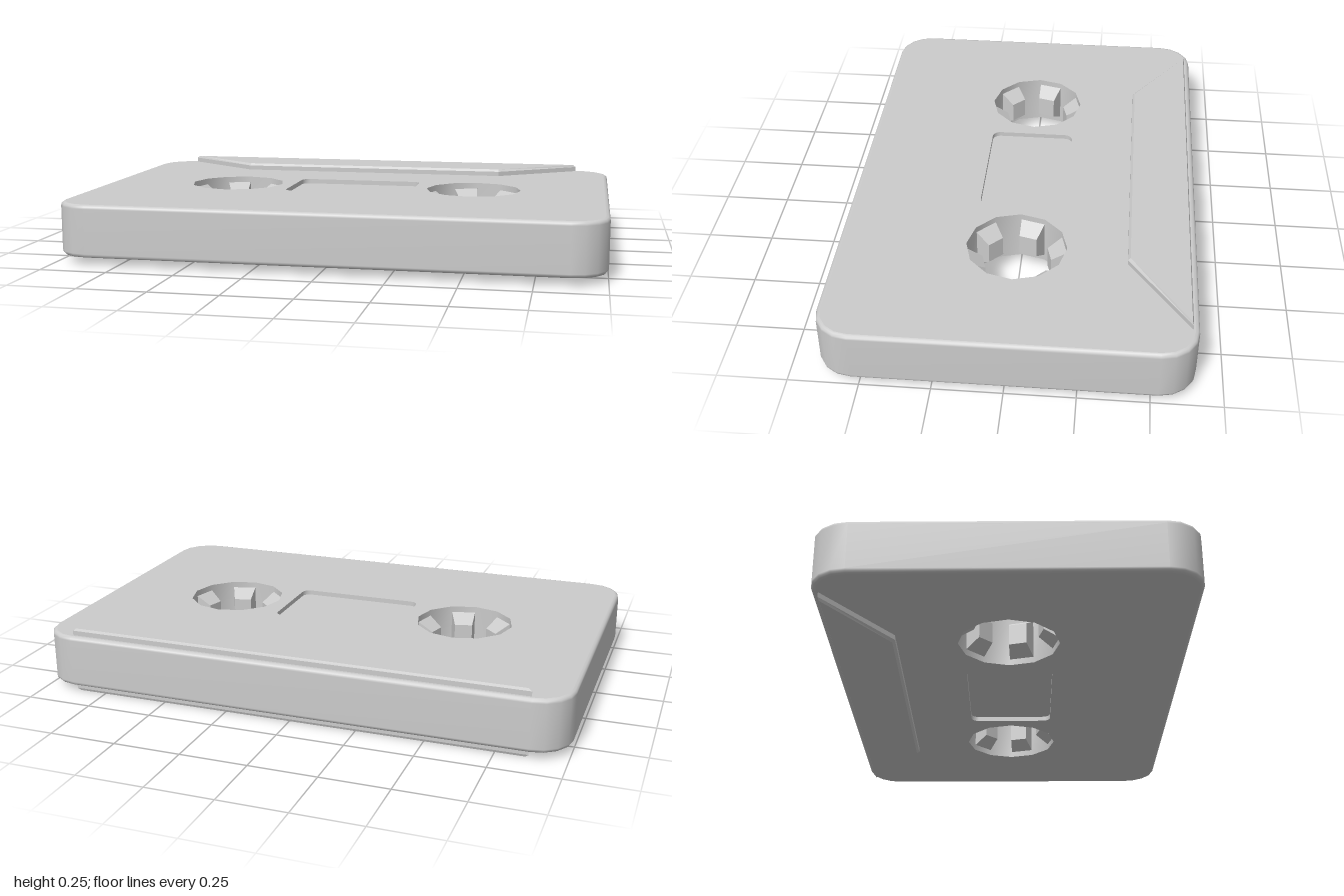
import * as THREE from 'three';

const BOTTOM = 0.027, TOP = 0.223, HEIGHT = 0.25, RECESS = 0.018, BEVEL = 0.015;
const HUB_X = 0.48, HUB_R = 0.185;

// Counter-clockwise rounded rectangle, as a list of points
function roundedRect(hw, hh, r, steps) {
  const pts = [];
  [[1, 1], [-1, 1], [-1, -1], [1, -1]].forEach(([sx, sy], k) => {
    for (let i = 0; i <= steps; i++) {
      const a = (k + i / steps) * Math.PI / 2;
      pts.push(new THREE.Vector2(sx * (hw - r) + r * Math.cos(a), sy * (hh - r) + r * Math.sin(a)));
    }
  });
  return pts;
}

// Twelve-sided outline of a hub hole
function hubOutline(cx) {
  return Array.from({ length: 12 }, (_, i) => {
    const a = i * Math.PI / 6;
    return new THREE.Vector2(cx + HUB_R * Math.cos(a), HUB_R * Math.sin(a));
  });
}

// Skin between closed outlines stacked from bottom to top
function band(loops) {
  const n = loops[0].pts.length, pos = [], idx = [];
  for (const { pts, y } of loops) for (const p of pts) pos.push(p.x, y, -p.y);
  for (let l = 0; l < loops.length - 1; l++) {
    for (let i = 0; i < n; i++) {
      const a = l * n + i, b = l * n + (i + 1) % n;
      idx.push(a, b, b + n, a, b + n, a + n);
    }
  }
  const g = new THREE.BufferGeometry();
  g.setAttribute('position', new THREE.Float32BufferAttribute(pos, 3));
  g.setIndex(idx);
  g.computeVertexNormals();
  return g;
}

// Flat horizontal face, turned up (side 1) or down (side -1)
function flatFace(outline, holes, y, side) {
  const shape = new THREE.Shape(outline);
  shape.holes = holes.map(h => new THREE.Path(h));
  return new THREE.ShapeGeometry(shape).rotateX(-side * Math.PI / 2).translate(0, y, 0);
}

// Drive tooth: wedge-shaped above and below, narrowing towards the hub axis
function toothGeometry() {
  const mid = (TOP + BOTTOM) / 2, outer = HUB_R * 0.97, inner = 0.122;
  const profile = new THREE.Shape([
    [outer, mid - 0.075], [outer, mid + 0.075], [inner, mid + 0.04], [inner, mid - 0.04],
  ].map(([x, y]) => new THREE.Vector2(x, y)));
  const g = new THREE.ExtrudeGeometry(profile, { depth: 1, bevelEnabled: false }).translate(0, 0, -0.5);
  const p = g.attributes.position;
  for (let i = 0; i < p.count; i++) {
    const t = (p.getX(i) - inner) / (outer - inner);
    p.setZ(i, p.getZ(i) * (0.068 + 0.024 * t));
  }
  g.computeVertexNormals();
  return g;
}

// Raised trapezoid with a chamfered rim, standing on y = 0
function panelGeometry() {
  const b = 0.009, depth = HEIGHT - TOP;
  const shape = new THREE.Shape([
    [-0.545, 0.415], [0.545, 0.415], [0.855, 0.628], [-0.855, 0.628],
  ].map(([x, y]) => new THREE.Vector2(x, y)));
  return new THREE.ExtrudeGeometry(shape, {
    depth, bevelEnabled: true, bevelSize: b, bevelThickness: b, bevelSegments: 1,
  }).rotateX(-Math.PI / 2).translate(0, -b, 0);
}

export function createModel() {
  const model = new THREE.Group();
  const material = new THREE.MeshStandardMaterial({ color: 0xcccccc });
  const add = (name, geometry, parent = model) => {
    const mesh = new THREE.Mesh(geometry, material);
    mesh.name = name;
    parent.add(mesh);
    return mesh;
  };

  const outline = d => roundedRect(1 - d, 0.655 - d, 0.13 - d, 4);
  const windowOutline = roundedRect(0.245, 0.163, 0.03, 4);
  const hubs = [-HUB_X, HUB_X].map(hubOutline);

  // Outer shell with softly rounded rims
  const rim = [0, 1, 2, 3].map(i => {
    const a = i / 3 * Math.PI / 2;
    return [BEVEL * (1 - Math.sin(a)), BEVEL * (1 - Math.cos(a))];
  });
  const loops = [
    ...rim.map(([d, h]) => ({ pts: outline(d), y: BOTTOM + h })),
    ...rim.slice().reverse().map(([d, h]) => ({ pts: outline(d), y: TOP - h })),
  ];
  add('shellSide', band(loops));

  // Faces, window recesses and raised panels on both sides
  for (const side of [1, -1]) {
    const label = side > 0 ? 'top' : 'bottom';
    const y = side > 0 ? TOP : BOTTOM, floor = y - side * RECESS;
    add(label + 'Face', flatFace(outline(BEVEL), [...hubs, windowOutline], y, side));
    add(label + 'WindowFloor', flatFace(windowOutline, [], floor, side));
    const inward = windowOutline.slice().reverse();
    add(label + 'WindowWall', band([
      { pts: inward, y: Math.min(y, floor) }, { pts: inward, y: Math.max(y, floor) },
    ]));
    // Panel tip sits exactly at the full height; its base sinks into the shell
    const panel = add(label + 'Panel', panelGeometry());
    if (side > 0) panel.position.y = TOP;
    else {
      panel.rotation.z = Math.PI;
      panel.position.y = BOTTOM;
    }
  }

  // Hub holes with six teeth each
  const tooth = toothGeometry();
  hubs.forEach((hub, k) => {
    const group = new THREE.Group();
    group.name = k ? 'leftHub' : 'rightHub';
    model.add(group);
    const inward = hub.slice().reverse();
    add('hubWall', band([{ pts: inward, y: BOTTOM }, { pts: inward, y: TOP }]), group);
    for (let i = 0; i < 6; i++) {
      const mesh = add('hubTooth', tooth, group);
      mesh.position.x = k ? HUB_X : -HUB_X;
      mesh.rotation.y = Math.PI / 12 + Math.PI / 6 + i * Math.PI / 3;
    }
  });
  return model;
}
